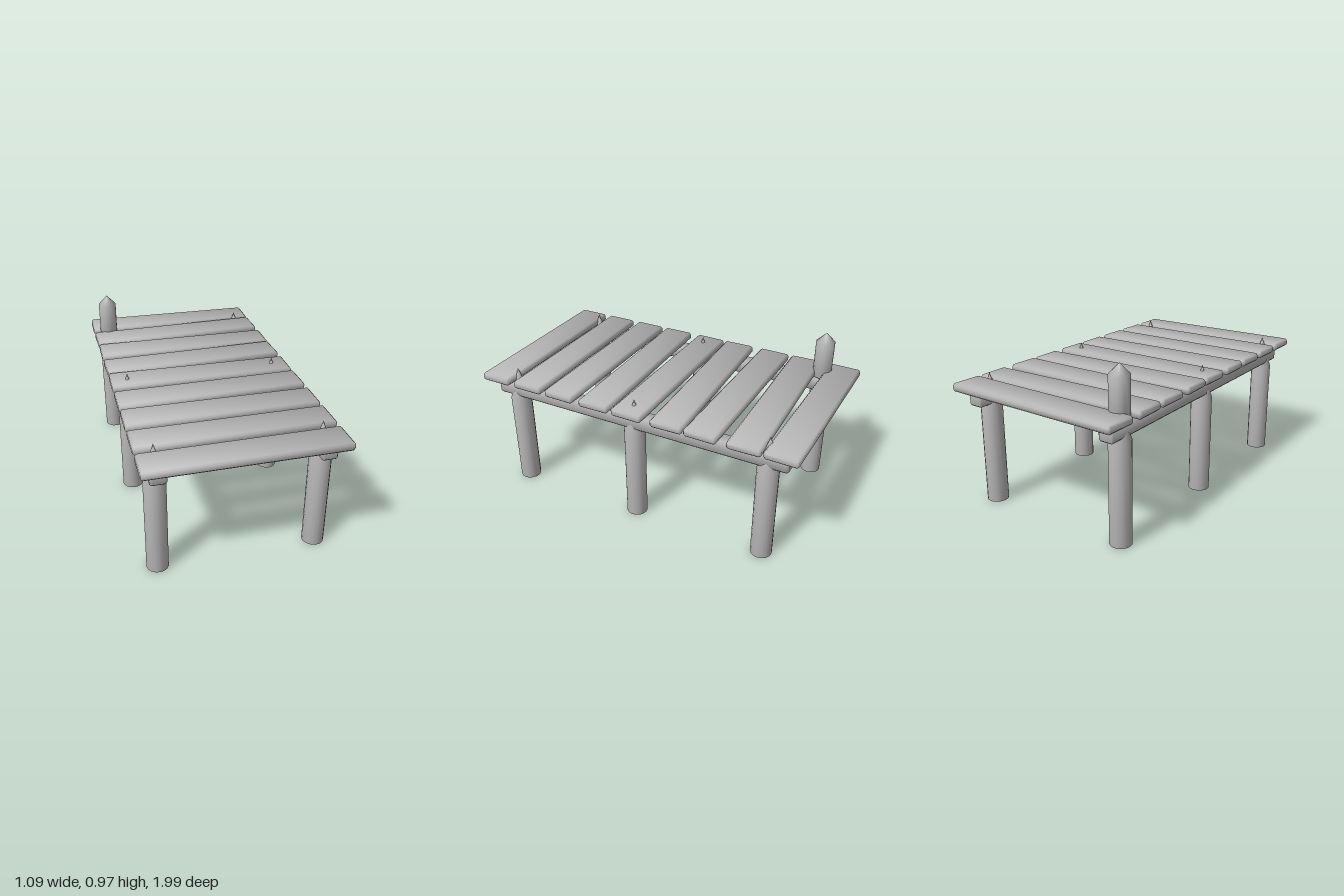
import * as THREE from 'three';
import { mergeVertices } from 'three/addons/utils/BufferGeometryUtils.js';

// Soft shading: every vertex takes the unweighted mean of its face normals.
function softNormals(geometry) {
  geometry.deleteAttribute('normal');
  geometry.deleteAttribute('uv');
  const g = mergeVertices(geometry, 1e-4);
  const pos = g.attributes.position;
  const sums = Array.from({ length: pos.count }, () => new THREE.Vector3());
  const tri = new THREE.Triangle();
  const n = new THREE.Vector3();
  for (let i = 0; i < g.index.count; i += 3) {
    const ids = [0, 1, 2].map((k) => g.index.getX(i + k));
    tri.setFromAttributeAndIndices(pos, ...ids).getNormal(n);
    ids.forEach((id) => sums[id].add(n));
  }
  g.setAttribute('normal', new THREE.Float32BufferAttribute(sums.flatMap((v) => v.normalize().toArray()), 3));
  return g;
}

// Bar along z with all edges chamfered by c, centred on the origin.
function chamferedBar(width, height, length, c) {
  const x = width / 2, y = height / 2;
  const outline = [
    [x, c - y], [x, y - c], [x - c, y], [c - x, y],
    [-x, y - c], [-x, c - y], [c - x, -y], [x - c, -y],
  ].map(([a, b]) => new THREE.Vector2(a, b));
  const g = new THREE.ExtrudeGeometry(new THREE.Shape(outline), {
    depth: length - 2 * c, bevelEnabled: true, bevelSegments: 1,
    bevelThickness: c, bevelSize: c * 0.9, bevelOffset: -c * 0.9,
  });
  g.translate(0, 0, c - length / 2);
  return softNormals(g);
}

// Round stake with a conical point.
function stake(radius, bottom, shoulder, tip) {
  const profile = [[0, bottom], [radius, bottom], [radius, shoulder], [0, tip]];
  return new THREE.LatheGeometry(profile.map(([r, y]) => new THREE.Vector2(r, y)), 16);
}

export function createModel() {
  const dock = new THREE.Group();
  dock.name = 'dock';
  const wood = new THREE.MeshStandardMaterial({ color: 0xb8b8b8 });
  wood.name = 'grey wood';

  const add = (name, geometry, x, y, z) => {
    const mesh = new THREE.Mesh(geometry, wood);
    mesh.name = name;
    mesh.position.set(x, y, z);
    dock.add(mesh);
    return mesh;
  };

  // Six posts whose points poke through the deck, and two long beams
  const postGeometry = stake(0.061, 0, 0.575, 0.767);
  const beamGeometry = chamferedBar(0.09, 0.085, 1.83, 0.011);
  for (const [side, x] of [['left', 0.445], ['right', -0.445]]) {
    for (const z of [-0.79, 0.005, 0.8]) add(side + 'Post', postGeometry, x, 0, z);
    add(side + 'Beam', beamGeometry, x, 0.638, 0.005);
  }

  // Taller mooring stake at the rear right corner
  add('mooringStake', stake(0.056, 0.69, 0.91, 0.968), -0.445, 0, -0.79);

  // Deck planks, each slightly skewed: z of the right end and of the left end
  const plankGeometry = chamferedBar(0.188, 0.047, 1.085, 0.011).rotateY(Math.PI / 2);
  const planks = [
    [-0.905, -0.88], [-0.66, -0.68], [-0.453, -0.433], [-0.21, -0.235], [-0.01, 0.01],
    [0.23, 0.22], [0.445, 0.453], [0.673, 0.673], [0.9, 0.9],
  ];
  for (const [right, left] of planks) {
    const plank = add('plank', plankGeometry, 0, 0.707, (right + left) / 2);
    plank.rotation.y = -Math.atan2(left - right, 1.07);
  }
  return dock;
}
